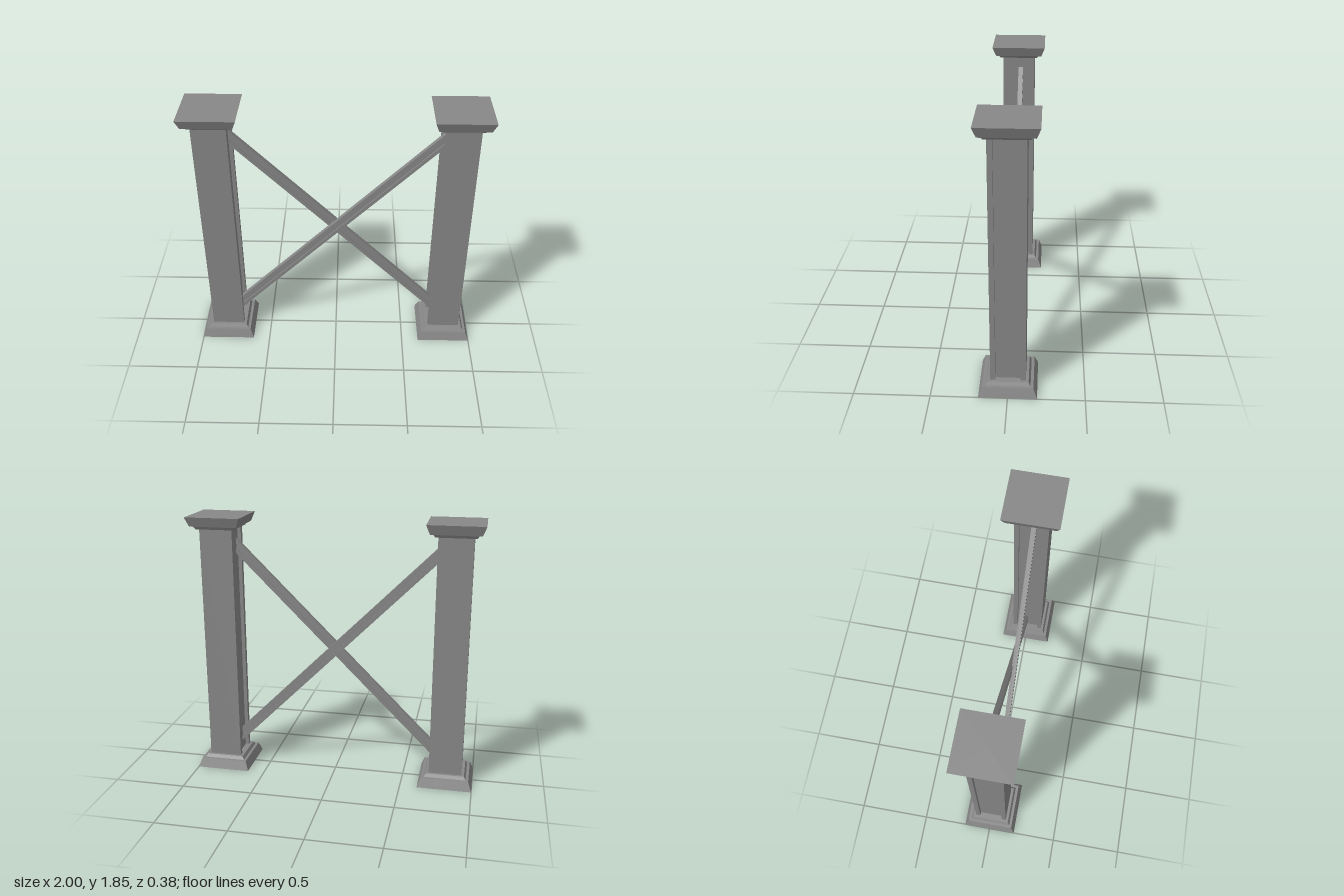
import * as THREE from 'three';

const material = new THREE.MeshStandardMaterial({ color: 0x888888, flatShading: true });

function addMesh(parent, name, geometry) {
  const mesh = new THREE.Mesh(geometry, material);
  mesh.name = name;
  parent.add(mesh);
  return mesh;
}

// Square block with sloping sides, given half-widths at bottom and top
function taperedBlock(bottom, top, y0, y1) {
  const g = new THREE.CylinderGeometry(top * Math.SQRT2, bottom * Math.SQRT2, y1 - y0, 4);
  return g.rotateY(Math.PI / 4).translate(0, (y0 + y1) / 2, 0);
}

// I-shaped outline: half width w, half height h, waist half width, groove half height
function iSection(w, h, waist, groove) {
  const quarter = [[w, h], [w, groove], [waist, groove]];
  const right = [...quarter, ...quarter.map(([x, y]) => [x, -y]).reverse()];
  const left = right.map(([x, y]) => [-x, -y]);
  return new THREE.Shape([...right, ...left].map(([x, y]) => new THREE.Vector2(x, y)));
}

function extrude(shape, length) {
  return new THREE.ExtrudeGeometry(shape, { depth: length, bevelEnabled: false })
    .translate(0, 0, -length / 2);
}

function createPost(x, name) {
  const post = new THREE.Group();
  post.name = name;
  post.position.x = x;
  const H = 1.85;
  // Shaft with a shallow channel down each outer and inner side
  addMesh(post, 'shaft', extrude(iSection(0.115, 0.115, 0.09, 0.082), H - 0.16)
    .rotateX(-Math.PI / 2).translate(0, H / 2, 0));
  // Stepped foot and its mirror image as the cap
  addMesh(post, 'base', taperedBlock(0.19, 0.166, 0, 0.065));
  addMesh(post, 'baseMoulding', taperedBlock(0.147, 0.134, 0.065, 0.087));
  addMesh(post, 'capMoulding', taperedBlock(0.134, 0.147, H - 0.087, H - 0.065));
  addMesh(post, 'cap', taperedBlock(0.166, 0.19, H - 0.065, H));
  return post;
}

// Grooved diagonal bar, sheared so that its ends stay vertical against the posts
function braceGeometry(slope, z) {
  const g = extrude(iSection(0.0165, 0.052, 0.007, 0.018), 1.41).rotateY(Math.PI / 2);
  const shear = new THREE.Matrix4().set(
    1, 0, 0, 0,
    slope, 1, 0, 0.928,
    0, 0, 1, z,
    0, 0, 0, 1);
  g.applyMatrix4(shear);
  g.computeVertexNormals();
  return g;
}

export function createModel() {
  const model = new THREE.Group();
  model.name = 'crossBracedPosts';
  model.add(createPost(0.81, 'leftPost'), createPost(-0.81, 'rightPost'));
  addMesh(model, 'frontBrace', braceGeometry(1, 0.0135));
  addMesh(model, 'backBrace', braceGeometry(-1, -0.0135));
  return model;
}
